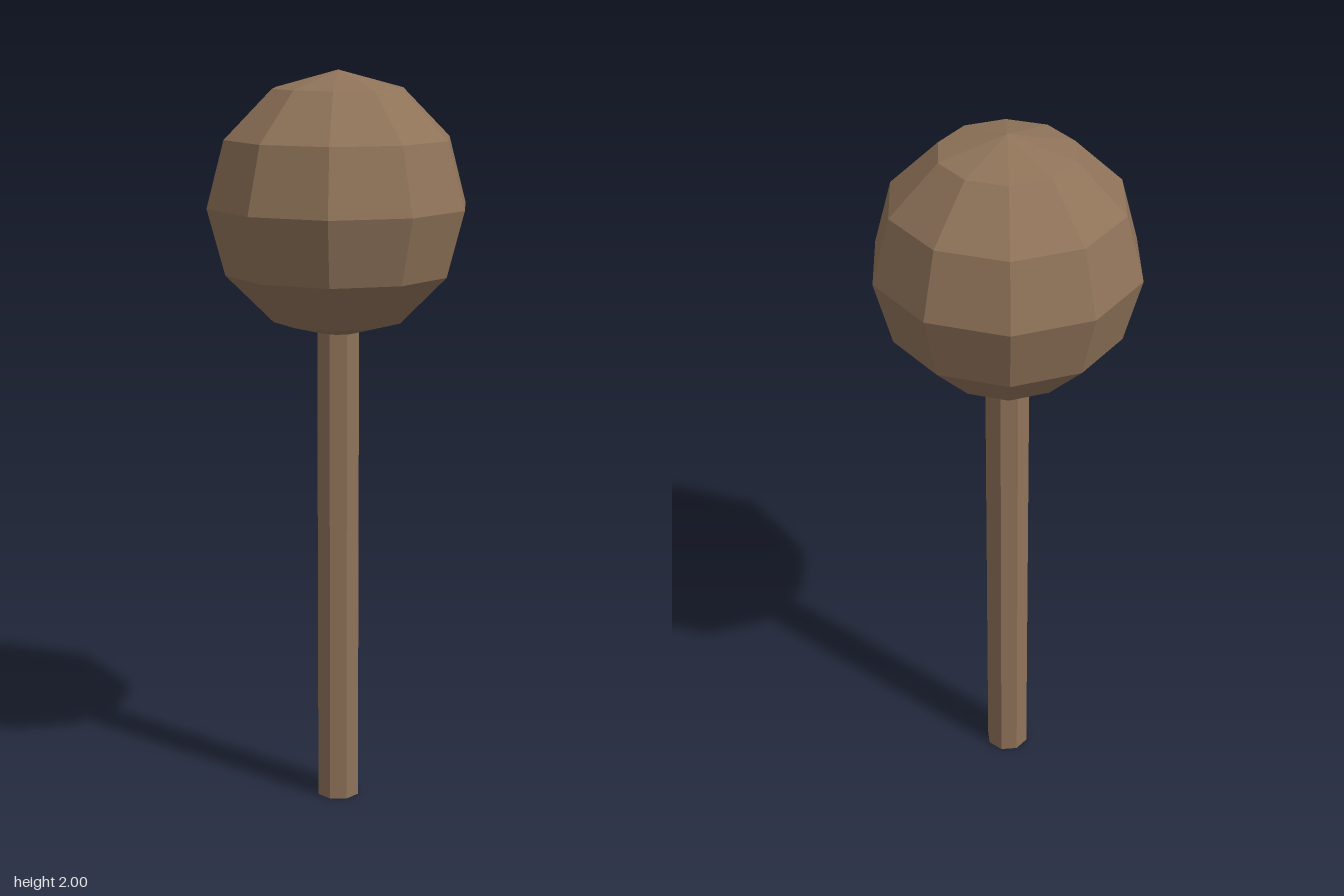
import * as THREE from 'three';

export function createModel() {
  const model = new THREE.Group();
  const brown = new THREE.MeshStandardMaterial({ color: 0x8f7359, flatShading: true });
  brown.name = 'brown';

  const add = (name, geometry, y) => {
    const mesh = new THREE.Mesh(geometry, brown);
    mesh.name = name;
    mesh.position.y = y;
    model.add(mesh);
  };

  // Eight-sided stick, its top set into the ball
  const stickHeight = 1.35;
  add('stick', new THREE.CylinderGeometry(0.06, 0.06, stickHeight, 8), stickHeight / 2);

  // Faceted ball
  add('ball', new THREE.SphereGeometry(0.35, 10, 6), 1.65);

  return model;
}
